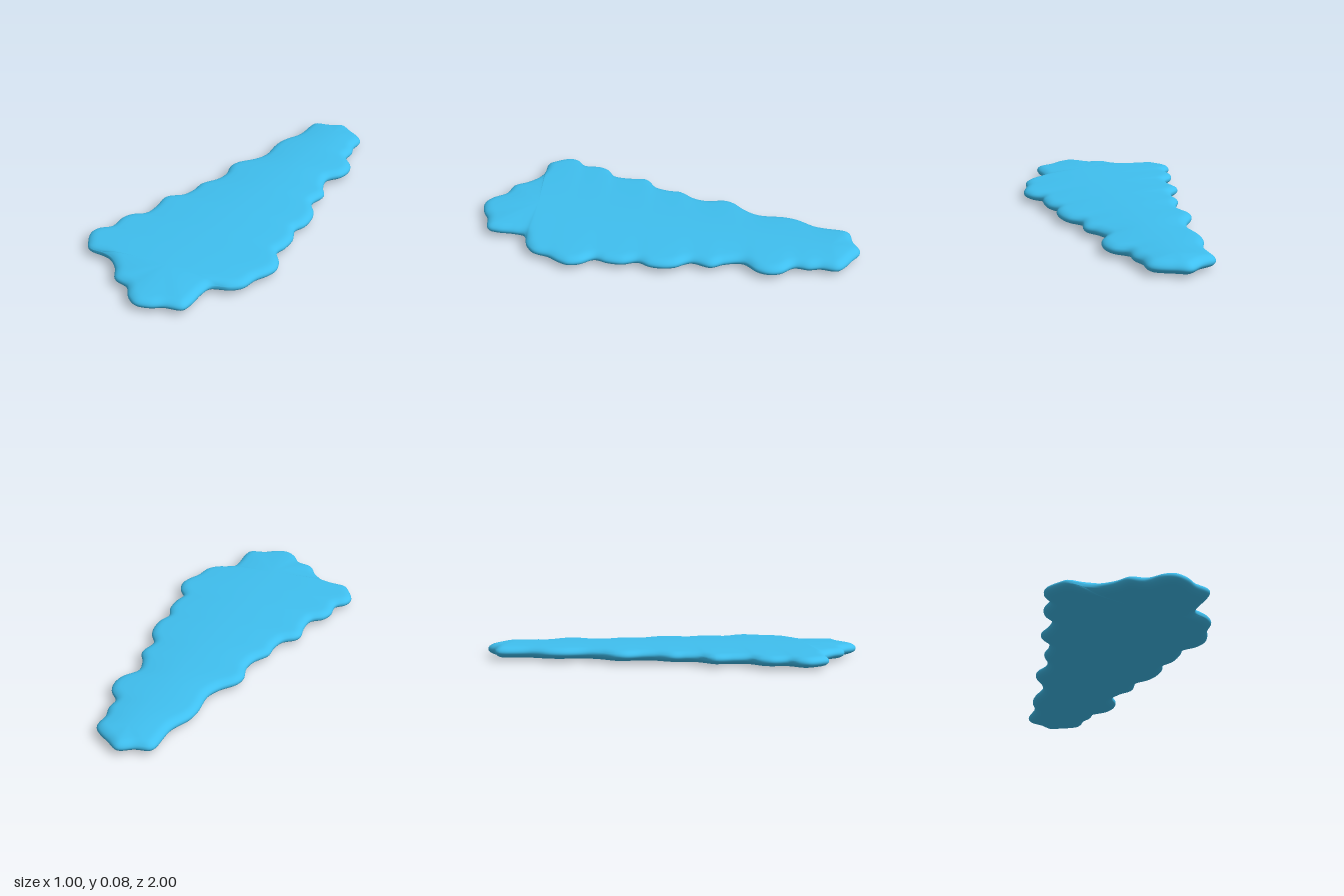
import * as THREE from 'three';

// Scalloped outline in hundredths (x, z), clockwise from above, starting at the back tip
const LEFT = [30,-100, 36,-96, 45,-88, 44,-79, 45,-73, 44,-66, 49,-59, 50,-53, 48,-47, 42,-40, 43,-31,
  46,-24, 43,-14, 47,-6, 48,0, 47,7, 44,13, 46,21, 45,29, 43,35, 47,42, 48,48, 46,53, 42,59, 39,67];
const FRONT = [34,71, 25,74, 23,80, 22,89, 20,94, 11,96, 5,99, -2,100, -7,97, -12,90, -20,87, -24,80,
  -30,74, -35,72, -44,71, -47,67];
const RIGHT = [-50,59, -48,54, -43,50, -42,41, -39,36, -33,32, -31,24, -31,15, -29,12, -23,8, -20,1, -19,-6,
  -13,-14, -11,-21, -12,-30, -10,-35, -3,-42, 1,-49, 2,-62, 4,-69, 10,-79, 13,-94, 15,-96, 22,-97];

const SAMPLES = 400, RINGS = 18, MID = 0.04, RIM = 0.045;

// Closed smooth curve through the outline points
function outlineCurve() {
  const flat = [...LEFT, ...FRONT, ...RIGHT], pts = [];
  for (let i = 0; i < flat.length; i += 2) pts.push(new THREE.Vector3(flat[i] / 100, 0, flat[i + 1] / 100));
  return new THREE.CatmullRomCurve3(pts, true, 'centripetal');
}

// Point of the slanted spine that faces an outline point
function spinePoint(p) {
  const z = THREE.MathUtils.clamp(p.z, -0.85, 0.7);
  return new THREE.Vector3(0.13 - 0.19 * z, 0, z);
}

// Pillow slab: rings shrink from the outline to the spine, with a round rim and a slight dome
function slabGeometry() {
  const curve = outlineCurve();
  const edge = curve.getSpacedPoints(SAMPLES).slice(0, SAMPLES);
  const fine = curve.getSpacedPoints(SAMPLES * 2);
  const edgeDistance = (p) => {
    let best = Infinity;
    for (const q of fine) best = Math.min(best, (p.x - q.x) ** 2 + (p.z - q.z) ** 2);
    return Math.sqrt(best);
  };

  const pos = [], index = [];
  edge.forEach((p) => pos.push(p.x, MID, p.z));
  for (let k = 1; k <= RINGS; k++) {
    const s = (k / RINGS) ** 2;
    const ring = edge.map((e) => {
      const p = e.clone().lerp(spinePoint(e), s);
      const r = Math.min(edgeDistance(p) / RIM, 1);
      p.y = 0.025 * Math.sqrt(1 - (1 - r) ** 2) + 0.014 * (1 - (1 - s) ** 2);
      return p;
    });
    for (const side of [1, -1]) ring.forEach((p) => pos.push(p.x, MID + side * p.y, p.z));
  }

  // Ring 0 is shared by both faces; later rings alternate top, bottom
  const start = (k, bottom) => (k === 0 ? 0 : (2 * k - 1 + bottom) * SAMPLES);
  for (let k = 0; k < RINGS; k++) {
    for (const bottom of [0, 1]) {
      for (let i = 0; i < SAMPLES; i++) {
        const j = (i + 1) % SAMPLES;
        const a = start(k, bottom) + i, b = start(k, bottom) + j;
        const c = start(k + 1, bottom) + i, d = start(k + 1, bottom) + j;
        if (bottom) index.push(a, b, c, b, d, c);
        else index.push(a, c, b, b, c, d);
      }
    }
  }
  const geo = new THREE.BufferGeometry();
  geo.setAttribute('position', new THREE.Float32BufferAttribute(pos, 3));
  geo.setIndex(index);
  geo.computeVertexNormals();
  return geo;
}

export function createModel() {
  const group = new THREE.Group();
  group.name = 'scallopedSlab';
  const slab = new THREE.Mesh(slabGeometry(), new THREE.MeshStandardMaterial({ color: 0x3fbfef }));
  slab.name = 'slab';
  group.add(slab);
  return group;
}
